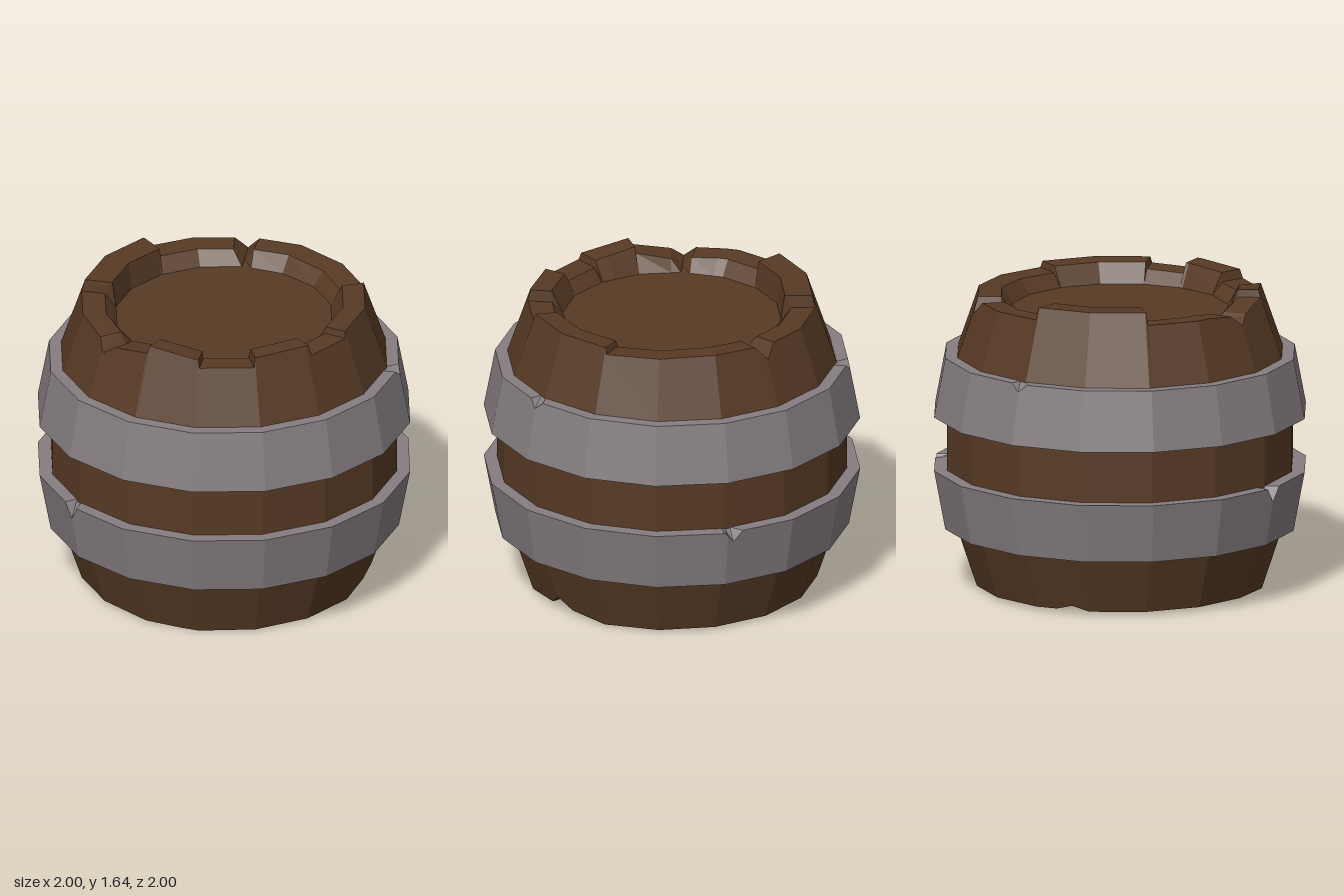
import * as THREE from 'three';

const wood = new THREE.MeshStandardMaterial({ color: 0x573a24, flatShading: true });
wood.name = 'dark wood';
const iron = new THREE.MeshStandardMaterial({ color: 0x857d80, flatShading: true });
iron.name = 'grey iron';

const SIDES = 16, STEP = 360 / SIDES;
const lerp = THREE.MathUtils.lerp;

// Radius factor that keeps any angle (degrees) on a regular 16-sided outline
const poly = (deg) => {
  const d = (((deg % STEP) + STEP) % STEP) - STEP / 2;
  return Math.cos(Math.PI / SIDES) / Math.cos(THREE.MathUtils.degToRad(d));
};

// Linear interpolation in a list of [angle, value] keys from 0 to 360
const sample = (keys, deg) => {
  for (let i = 1; i < keys.length; i++) {
    const [a0, v0] = keys[i - 1], [a1, v1] = keys[i];
    if (deg <= a1) return lerp(v0, v1, (deg - a0) / (a1 - a0));
  }
  return keys[keys.length - 1][1];
};

// Corner angles of the outline together with the angles of all keys
const columnsFor = (...lists) => {
  const set = new Set(lists.flat().map((k) => k[0]));
  for (let i = 0; i <= SIDES; i++) set.add(i * STEP);
  return [...set].sort((a, b) => a - b);
};

// Sweeps a profile [[radius, y], ...], given for each angle, around the y axis
function sweep(name, columns, profile, material) {
  const pos = [], index = [];
  let n = 0;
  for (const deg of columns) {
    const t = THREE.MathUtils.degToRad(deg), p = profile(deg);
    n = p.length;
    for (const [r, y] of p) {
      const R = r * poly(deg);
      pos.push(R * Math.cos(t), y, R * Math.sin(t));
    }
  }
  for (let i = 0; i < columns.length - 1; i++) {
    for (let j = 0; j < n - 1; j++) {
      const a = i * n + j, b = a + n;
      index.push(a, a + 1, b + 1, a, b + 1, b);
    }
  }
  let geo = new THREE.BufferGeometry();
  geo.setAttribute('position', new THREE.Float32BufferAttribute(pos, 3));
  geo.setIndex(index);
  geo = geo.toNonIndexed();
  geo.computeVertexNormals();
  const mesh = new THREE.Mesh(geo, material);
  mesh.name = name;
  return mesh;
}

// Height of the worn upper rim: raised stave ends and two V-shaped nicks
const topRim = [
  [0, 1.6], [0.6, 1.565], [20.4, 1.56], [21, 1.62], [45, 1.61], [45.6, 1.56],
  [67.4, 1.56], [68, 1.6], [89.4, 1.63], [90, 1.59], [107, 1.55], [112, 1.5],
  [117, 1.56], [130, 1.575], [156.4, 1.575], [157, 1.64], [203, 1.64], [203.6, 1.575],
  [242, 1.57], [247, 1.5], [252, 1.575], [270, 1.58], [314.4, 1.565], [315, 1.6], [360, 1.6],
];

// Height of the worn lower rim, with one nick
const bottomRim = [
  [0, 0.015], [75, 0], [112, 0.02], [180, 0.02], [187, 0.045], [194, 0.02],
  [270, 0.015], [315, 0.005], [331, 0.03], [337, 0.09], [343, 0.03], [360, 0.015],
];

// Barrel body: recessed ends, tapered shoulders and a straight middle
function makeBody() {
  return sweep('barrelBody', columnsFor(topRim, bottomRim), (deg) => {
    const top = sample(topRim, deg), bottom = sample(bottomRim, deg);
    const raisedLeft = deg >= 157 && deg <= 203;
    return [
      [0, 0.09], [0.58, 0.09], [0.64, bottom + 0.005],
      [0.77 + (bottom - 0.015) * 0.3, bottom],
      [0.875, 0.33], [0.93, 0.62], [0.93, 0.97], [0.875, 1.26],
      [0.77 - (top - 1.56) * 0.3, top],
      [raisedLeft ? 0.6 : 0.64, top - 0.005],
      [0.58, 1.49], [0, 1.49],
    ];
  }, wood);
}

// Iron hoop: wide edge at yWide, narrow edge at yNarrow, dented at the given angles
function makeHoop(name, yNarrow, yWide, dents) {
  const keys = [[0, 0]];
  for (const [deg, depth] of dents) keys.push([deg - 3, 0], [deg, depth], [deg + 3, 0]);
  keys.push([360, 0]);
  const outer = (y) => lerp(0.94, 1, (y - yNarrow) / (yWide - yNarrow));
  const low = Math.min(yNarrow, yWide), high = Math.max(yNarrow, yWide);
  const inner = (y) => (y === yWide ? 0.925 : 0.87);
  return sweep(name, columnsFor(keys), (deg) => {
    const y = high - sample(keys, deg);
    return [[inner(low), low], [outer(low), low], [outer(y), y], [inner(high), high]];
  }, iron);
}

export function createModel() {
  const barrel = new THREE.Group();
  barrel.name = 'barrel';
  barrel.add(
    makeBody(),
    makeHoop('lowerHoop', 0.33, 0.65, [[112.5, 0.08], [268, 0.06]]),
    makeHoop('upperHoop', 1.26, 0.94, [[202.5, 0.04], [337.5, 0.04]]),
  );
  return barrel;
}
